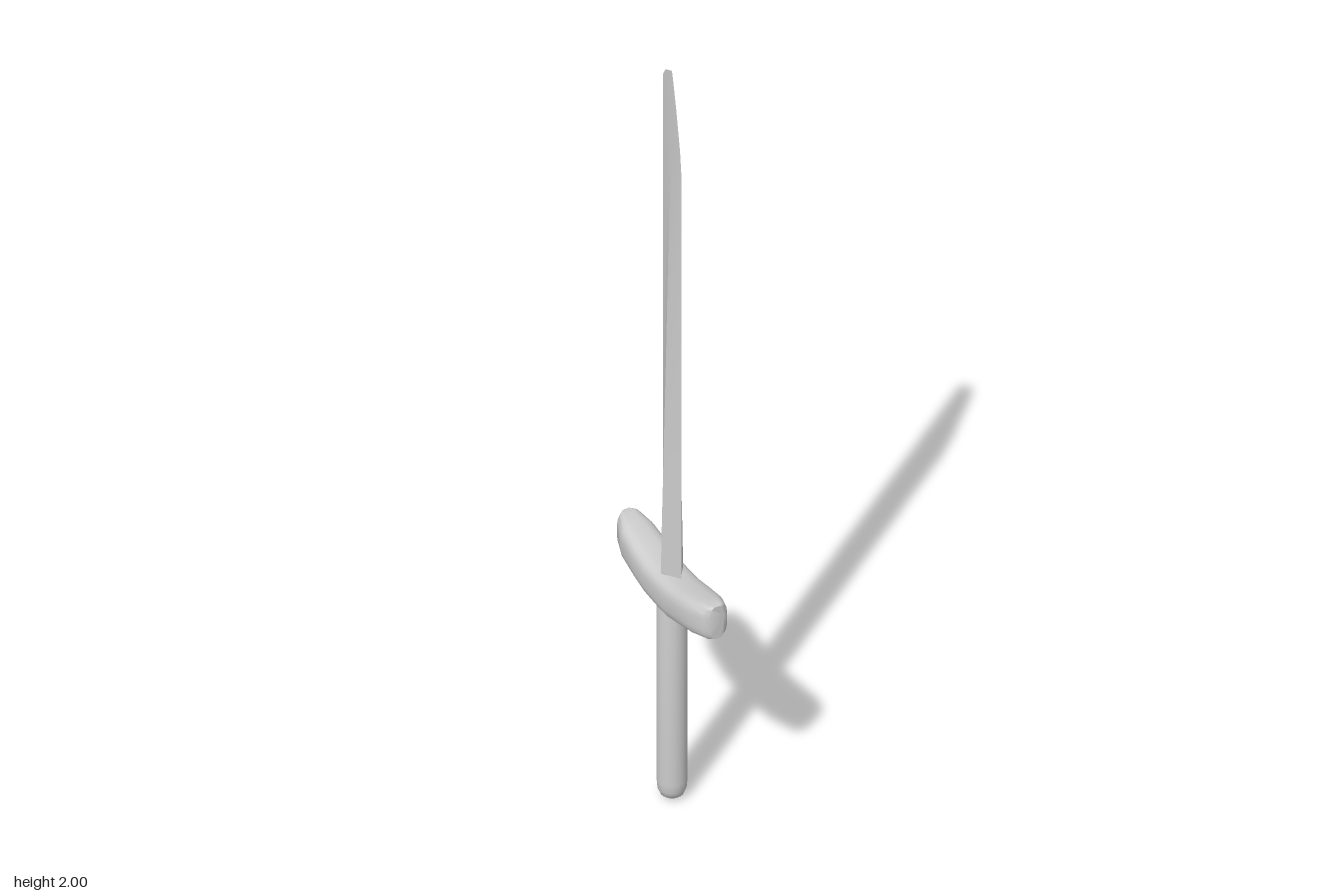
import * as THREE from 'three';
import { toCreasedNormals } from 'three/addons/utils/BufferGeometryUtils.js';

const material = new THREE.MeshStandardMaterial({ color: 0xcccccc });

// Skin a list of closed rings (counter-clockwise about the sweep direction), capped at both ends.
function loft(rings, crease) {
  const n = rings[0].length;
  const positions = [];
  const tri = (...points) => points.forEach((p) => positions.push(p.x, p.y, p.z));
  for (let i = 0; i < rings.length - 1; i++) {
    for (let j = 0; j < n; j++) {
      const k = (j + 1) % n;
      const [a, b, c, d] = [rings[i][j], rings[i][k], rings[i + 1][k], rings[i + 1][j]];
      tri(a, b, c);
      tri(a, c, d);
    }
  }
  const first = rings[0];
  const last = rings[rings.length - 1];
  for (let j = 1; j < n - 1; j++) {
    tri(first[0], first[j + 1], first[j]);
    tri(last[0], last[j], last[j + 1]);
  }
  const geometry = new THREE.BufferGeometry();
  geometry.setAttribute('position', new THREE.Float32BufferAttribute(positions, 3));
  return toCreasedNormals(geometry, crease);
}

const v = (x, y, z) => new THREE.Vector3(x, y, z);

function addPart(group, name, geometry) {
  const mesh = new THREE.Mesh(geometry, material);
  mesh.name = name;
  group.add(mesh);
}

// Diamond-section blade, thinning toward a clipped, slanted tip.
function bladeGeometry() {
  // cutting edge y, z; ridge y, z, half thickness; spine y, z
  const sections = [
    [0.58, 0.043, 0.58, 0, 0.029, 0.58, -0.041],
    [0.75, 0.045, 0.75, 0, 0.026, 0.75, -0.042],
    [1.2, 0.045, 1.2, 0, 0.0155, 1.2, -0.043],
    [1.73, 0.045, 1.73, 0, 0.005, 1.73, -0.043],
    [1.80, 0.038, 1.82, -0.003, 0.0035, 1.82, -0.043],
    [1.90, 0.021, 1.92, -0.01, 0.002, 1.92, -0.043],
    [1.97, 0.007, 1.97, -0.015, 0.001, 1.965, -0.042],
    [2.0, 0, 1.993, -0.015, 0.0005, 1.984, -0.031],
  ];
  return loft(sections.map(([ey, ez, ry, rz, t, sy, sz]) =>
    [v(0, ey, ez), v(t, ry, rz), v(0, sy, sz), v(-t, ry, rz)]), 0.35);
}

// Upswept crossguard with a rounded-box section and narrowed ends.
function guardGeometry() {
  // z, half width, centre height, half height
  const half = [
    [0, 0.048, 0.577, 0.047],
    [0.05, 0.048, 0.579, 0.047],
    [0.1, 0.0475, 0.59, 0.046],
    [0.16, 0.044, 0.603, 0.046],
    [0.203, 0.03, 0.612, 0.046],
    [0.212, 0.018, 0.613, 0.044],
  ];
  const mirrored = half.slice(1).reverse().map(([z, ...rest]) => [-z, ...rest]);
  const sides = 20;
  const rounded = (c) => Math.sign(c) * Math.pow(Math.abs(c), 0.6);
  return loft([...mirrored, ...half].map(([z, w, y, h]) =>
    Array.from({ length: sides }, (_, j) => {
      const a = ((j + 0.5) / sides) * Math.PI * 2;
      return v(w * rounded(Math.cos(a)), y + h * rounded(Math.sin(a)), z);
    })), 0.8);
}

// Straight round grip with a softened butt end.
function gripGeometry() {
  const profile = [[0, 0], [0.016, 0.003], [0.027, 0.012], [0.033, 0.027],
    [0.035, 0.05], [0.035, 0.55], [0, 0.55]].map(([r, y]) => new THREE.Vector2(r, y));
  return new THREE.LatheGeometry(profile, 20);
}

export function createModel() {
  const sword = new THREE.Group();
  sword.name = 'sword';
  addPart(sword, 'blade', bladeGeometry());
  addPart(sword, 'crossguard', guardGeometry());
  addPart(sword, 'grip', gripGeometry());
  return sword;
}
